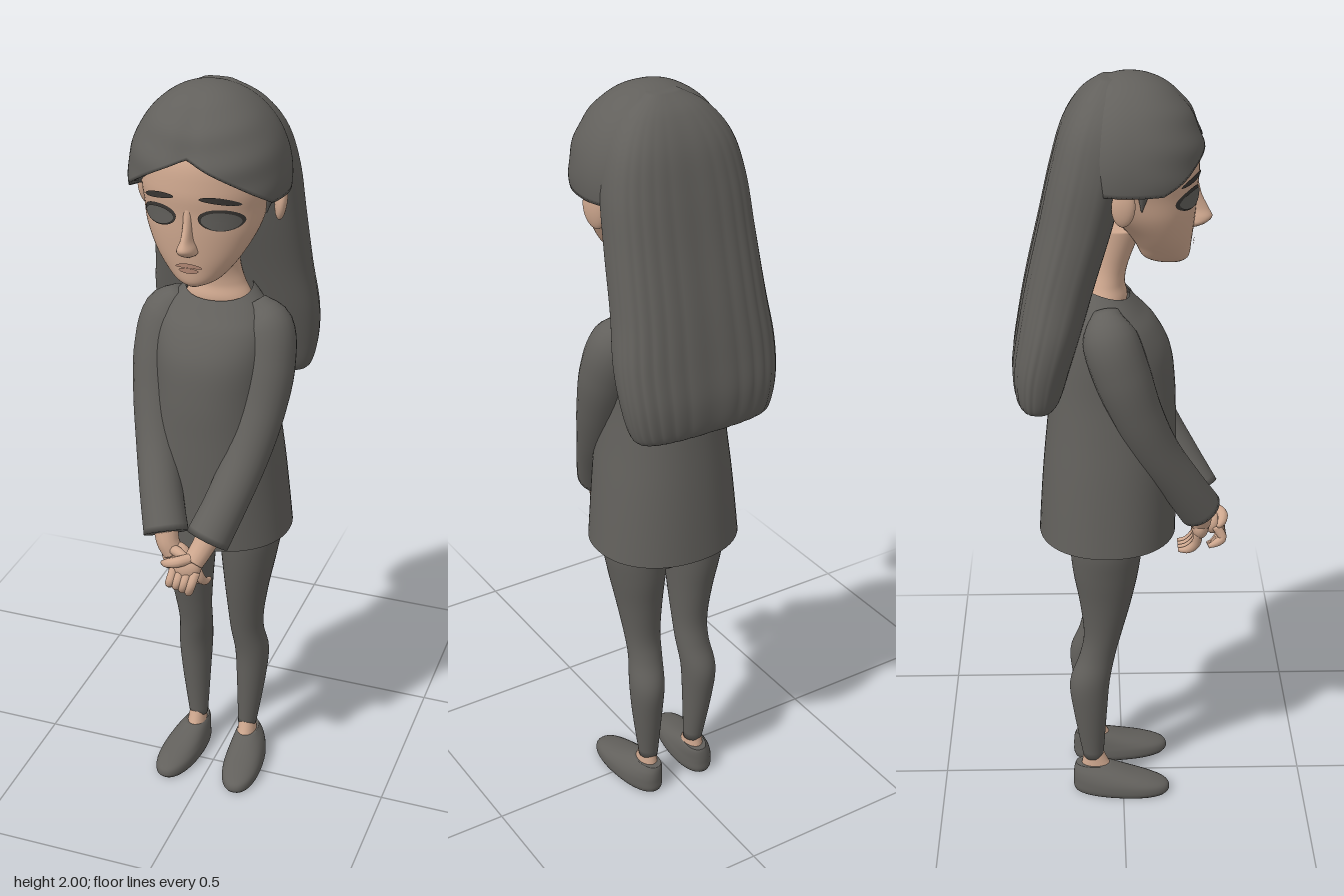
import * as THREE from 'three';

const mat = (name, color, side = THREE.FrontSide) => {
  const m = new THREE.MeshStandardMaterial({ color, side });
  m.name = name;
  return m;
};

// Catmull-Rom through rows of numbers, t in 0..1
function blend(rows, t) {
  const f = t * (rows.length - 1), i = Math.min(Math.floor(f), rows.length - 2), u = f - i;
  const at = k => rows[Math.max(0, Math.min(rows.length - 1, k))];
  const [a, b, c, d] = [at(i - 1), at(i), at(i + 1), at(i + 2)];
  return b.map((_, k) => b[k] + 0.5 * u * (c[k] - a[k] + u * (2 * a[k] - 5 * b[k] + 4 * c[k] - d[k]
    + u * (3 * (b[k] - c[k]) + d[k] - a[k]))));
}

// Smooth surface over closed rings of points
function skin(rings, capStart = true, capEnd = true) {
  const n = rings[0].length, pos = [], idx = [];
  rings.forEach(r => r.forEach(p => pos.push(...p)));
  for (let i = 0; i < rings.length - 1; i++) for (let j = 0; j < n; j++) {
    const a = i * n + j, c = i * n + (j + 1) % n;
    idx.push(a, a + n, c, c, a + n, c + n);
  }
  const cap = (ring, base, flip) => {
    const centre = pos.length / 3;
    pos.push(...[0, 1, 2].map(k => ring.reduce((s, p) => s + p[k], 0) / n));
    for (let j = 0; j < n; j++) {
      const a = base + j, b = base + (j + 1) % n;
      idx.push(centre, flip ? b : a, flip ? a : b);
    }
  };
  if (capStart) cap(rings[0], 0, false);
  if (capEnd) cap(rings[rings.length - 1], (rings.length - 1) * n, true);
  const g = new THREE.BufferGeometry();
  g.setAttribute('position', new THREE.Float32BufferAttribute(pos, 3));
  g.setIndex(idx);
  g.computeVertexNormals();
  return g;
}

const power = (v, p) => Math.sign(v) * Math.abs(v) ** (2 / p);

// Horizontal sections, bottom to top: [y, zFront, zBack, xMin, xMax, frontDrop]
function loft(rows, { n = 40, steps = 40, p = 2, caps = [true, true], wave = () => 1 } = {}) {
  const rings = [];
  for (let i = 0; i <= steps; i++) {
    const [y, zf, zb, x0, x1, drop = 0] = blend(rows, i / steps);
    rings.push(Array.from({ length: n }, (_, j) => {
      const t = j / n * Math.PI * 2, w = wave(t, i / steps);
      const c = power(Math.cos(t), p), s = power(Math.sin(t), p);
      return [(x0 + x1) / 2 + (x1 - x0) / 2 * c * w, y - drop * s, (zf + zb) / 2 + (zf - zb) / 2 * s * w];
    }));
  }
  return skin(rings, ...caps);
}
const even = rows => rows.map(([y, zf, zb, rx, drop = 0]) => [y, zf, zb, -rx, rx, drop]);
const sided = (rows, s) => rows.map(([y, zf, zb, a, b]) => s > 0 ? [y, zf, zb, a, b] : [y, zf, zb, -b, -a]);

// Tube with changing radius through [x, y, z, r]
function limb(pts, n = 14, steps = 24) {
  const curve = new THREE.CatmullRomCurve3(pts.map(q => new THREE.Vector3(q[0], q[1], q[2])));
  const { normals, binormals } = curve.computeFrenetFrames(steps);
  const rings = [];
  for (let i = 0; i <= steps; i++) {
    const u = i / steps, P = curve.getPointAt(u);
    const r = blend(pts.map(q => [q[3]]), curve.getUtoTmapping(u))[0];
    rings.push(Array.from({ length: n }, (_, j) => {
      const t = j / n * Math.PI * 2;
      return P.clone().addScaledVector(normals[i], r * Math.cos(t))
        .addScaledVector(binormals[i], -r * Math.sin(t)).toArray();
    }));
  }
  return skin(rings);
}

const HEAD = [[1.53, .15, .09, .02], [1.545, .165, .05, .055], [1.58, .17, .03, .088], [1.62, .175, 0, .115],
  [1.67, .18, -.05, .14], [1.72, .183, -.09, .152], [1.78, .188, -.12, .162], [1.86, .172, -.13, .15],
  [1.93, .1, -.1, .1], [1.95, .04, -.05, .04]];

// Front of the face at x, y
function faceZ(x, y) {
  let i = 0;
  while (i < HEAD.length - 2 && HEAD[i + 1][0] < y) i++;
  const k = (y - HEAD[i][0]) / (HEAD[i + 1][0] - HEAD[i][0]);
  const [zf, zb, rx] = [1, 2, 3].map(m => HEAD[i][m] + (HEAD[i + 1][m] - HEAD[i][m]) * k);
  return (zf + zb) / 2 + (zf - zb) / 2 * Math.sqrt(Math.max(0, 1 - (x / rx) ** 2));
}

// Thin oval laid on the face
function facePatch(cx, cy, rx, ry, tilt, lift, arch = 0) {
  const g = new THREE.RingGeometry(0.001, 1, 28, 5), a = g.attributes.position;
  for (let i = 0; i < a.count; i++) {
    const u = a.getX(i) * rx, v = a.getY(i) * ry - arch * a.getX(i) ** 2;
    const x = cx + u * Math.cos(tilt) - v * Math.sin(tilt), y = cy + u * Math.sin(tilt) + v * Math.cos(tilt);
    a.setXYZ(i, x, y, faceZ(x, y) + lift);
  }
  g.computeVertexNormals();
  return g;
}

// Centre-parted hair cap with a lifted front edge
function hairCap() {
  const n = 96, steps = 36, rings = [];
  for (let i = -1; i <= steps; i++) {
    rings.push(Array.from({ length: n }, (_, j) => {
      const t = j / n * Math.PI * 2, front = Math.sin(t);
      const f = Math.abs(Math.atan2(Math.cos(t), front));
      const edge = Math.acos((Math.max(1.745, 1.857 - .095 * f) - 1.78) / .22);
      const k = Math.max(0, i) / steps, a = edge * (1 - k) + .02 * k;
      const locks = .014 * Math.sin(a * 15 + f * 2) * Math.max(0, front) * Math.sin(a);
      const part = .035 * Math.exp(-((f / .13) ** 2)) * Math.sin(a);
      const r = Math.sin(a) * (1 + locks - part) * (i < 0 ? .84 : 1);
      return [.197 * r * power(Math.cos(t), 2.2), 1.78 + .22 * Math.cos(a) + (i < 0 ? .008 : 0),
        .015 + (front > 0 ? .19 : .165) * r * power(front, 2.2)];
    }));
  }
  return skin(rings, false, true);
}

export function createModel() {
  const charcoal = mat('charcoal', 0x62605c);
  const cloth = mat('charcoal cloth', 0x62605c, THREE.DoubleSide);
  const skinTone = mat('skin', 0xcfa88f);
  const lipTone = mat('lips', 0xb98d79);
  const lash = mat('lashes', 0x3a3734);
  const model = new THREE.Group();
  const add = (name, geo, m, parent = model) => {
    const mesh = new THREE.Mesh(geo, m);
    mesh.name = name;
    parent.add(mesh);
    return mesh;
  };
  const ball = (name, x, y, z, rx, ry, rz, parent = model) => {
    const b = add(name, new THREE.SphereGeometry(1, 24, 16), skinTone, parent);
    b.position.set(x, y, z);
    b.scale.set(rx, ry, rz);
    return b;
  };

  // Head, nose, mouth and neck
  add('head', loft(even(HEAD), { steps: 54, n: 56 }), skinTone);
  add('nose', loft(even([[1.618, .186, .15, .012], [1.628, .207, .15, .024], [1.643, .221, .15, .022],
    [1.665, .211, .15, .014], [1.7, .194, .15, .012], [1.74, .184, .15, .014]]), { n: 24 }), skinTone);
  add('upperLip', facePatch(0, 1.594, .034, .006, 0, .006, .005), lipTone);
  add('lowerLip', facePatch(0, 1.581, .025, .007, 0, .007), lipTone);
  add('neck', loft(even([[1.38, .0, -.11, .1], [1.44, .012, -.105, .086], [1.48, .006, -.095, .068],
    [1.53, .015, -.085, .057], [1.62, .05, -.075, .057]])), skinTone);

  // Hair
  add('hairCap', hairCap(), cloth);
  add('longHair', loft(even([[1.18, -.18, -.245, .165], [1.2, -.155, -.272, .195], [1.28, -.13, -.28, .215],
    [1.38, -.1, -.266, .22], [1.5, -.065, -.243, .207], [1.65, -.02, -.208, .197], [1.78, .01, -.178, .187],
    [1.88, .02, -.148, .16], [1.95, .02, -.105, .108], [1.99, -.01, -.055, .04]]), {
    n: 180, steps: 60, p: 2.7,
    wave: (t, k) => 1 - .035 * (1 - k) * (1 - Math.abs(Math.cos(t * 13))) * Math.max(0, .3 - Math.sin(t))
  }), charcoal);

  // Tunic and hips
  add('tunic', loft(even([[.79, .14, -.22, .2], [.9, .14, -.213, .189], [1, .14, -.205, .178],
    [1.1, .138, -.195, .165], [1.2, .135, -.185, .155], [1.3, .122, -.17, .155], [1.37, .086, -.15, .15],
    [1.42, .048, -.125, .125, .01], [1.462, .018, -.11, .086, .02]]), { n: 56, p: 2.15, caps: [false, false] }), cloth);
  add('hips', loft(even([[.69, -.02, -.08, .02], [.73, .02, -.12, .08], [.79, .045, -.14, .165],
    [.9, .06, -.15, .165], [1, .06, -.15, .15]])), charcoal);

  for (const s of [1, -1]) {
    const side = s > 0 ? 'left' : 'right';
    const flip = pts => pts.map(([x, ...rest]) => [x * s, ...rest]);

    // Face details and ear
    add(side + 'Lashes', facePatch(s * .077, 1.713, .05, .027, -s * .1, .003), lash);
    add(side + 'Eye', facePatch(s * .077, 1.711, .044, .022, -s * .1, .006), charcoal);
    add(side + 'Eyebrow', facePatch(s * .077, 1.762, .046, .008, -s * .2, .005, .004), lash);
    const ear = ball(side + 'Ear', s * .172, 1.718, -.002, .015, .05, .03);
    ear.rotation.set(.15, s * .4, -s * .15);
    add(side + 'Sideburn', limb(flip([[.168, 1.79, .045, .015], [.156, 1.74, .045, .012],
      [.15, 1.7, .042, .002]])), charcoal);

    // Sleeve
    add(side + 'Sleeve', limb(flip([[.09, 1.425, -.045, .035], [.128, 1.375, -.035, .068], [.142, 1.28, -.005, .072],
      [.139, 1.17, .035, .064], [.12, 1.06, .085, .058], [.088, .95, .15, .056], [.056, .862, .202, .058]]), 24, 40), charcoal);

    // Leg, ankle and shoe
    add(side + 'Leg', loft(sided([[.1, -.055, -.11, .048, .1], [.25, -.045, -.135, .042, .122],
      [.35, -.037, -.145, .037, .13], [.43, -.022, -.118, .03, .122], [.5, -.005, -.106, .027, .126],
      [.6, .02, -.116, .02, .142], [.7, .04, -.133, .012, .162], [.79, .05, -.14, .005, .175],
      [.88, .05, -.14, .004, .16]], s)), charcoal);
    add(side + 'Ankle', loft(sided([[.05, -.01, -.12, .045, .105], [.08, -.038, -.115, .05, .102],
      [.13, -.06, -.106, .053, .096]], s)), skinTone);
    const shoe = loft(sided([[0, .122, -.134, .034, .134], [.012, .13, -.138, .03, .138], [.03, .122, -.138, .031, .137],
      [.045, .085, -.138, .035, .132], [.06, .03, -.137, .04, .123], [.072, -.01, -.135, .045, .113],
      [.08, -.035, -.132, .05, .106]], s), { p: 2.25 });
    shoe.translate(-s * .08, 0, .08).rotateY(s * .1).translate(s * .08, 0, -.08);
    add(side + 'Shoe', shoe, charcoal);
  }

  // Clasped hands, left over right
  const leftHand = new THREE.Group(), rightHand = new THREE.Group();
  leftHand.name = 'leftHand';
  rightHand.name = 'rightHand';
  model.add(leftHand, rightHand);
  add('wrist', limb([[.058, .87, .198, .032], [.045, .84, .215, .03], [.03, .81, .235, .028]]), skinTone, leftHand);
  add('wrist', limb([[-.058, .87, .198, .032], [-.05, .84, .205, .03], [-.035, .81, .205, .028]]), skinTone, rightHand);
  ball('palm', .014, .795, .24, .04, .036, .025, leftHand).rotation.z = .5;
  ball('palm', -.026, .802, .205, .04, .04, .025, rightHand).rotation.z = -.4;
  for (let i = 0; i < 4; i++) {
    add('finger', limb([[.042 - .02 * i, .79, .248, .012], [.034 - .019 * i, .757, .265, .0125],
      [.022 - .017 * i, .727 + .006 * i, .25, .011], [.016 - .016 * i, .718 + .006 * i, .228, .006]], 10, 14), skinTone, leftHand);
    add('finger', limb([[-.045 + .022 * i, .785, .2, .012], [-.03 + .021 * i, .745, .195, .0125],
      [-.018 + .019 * i, .72, .175, .011], [-.01 + .018 * i, .714, .15, .006]], 10, 14), skinTone, rightHand);
  }
  add('thumb', limb([[.03, .825, .24, .014], [-.005, .82, .265, .014], [-.032, .81, .262, .012],
    [-.048, .803, .252, .006]], 10, 14), skinTone, leftHand);
  add('thumb', limb([[-.035, .825, .215, .014], [-.008, .83, .235, .013], [.018, .825, .245, .008]], 10, 14), skinTone, rightHand);

  return model;
}
